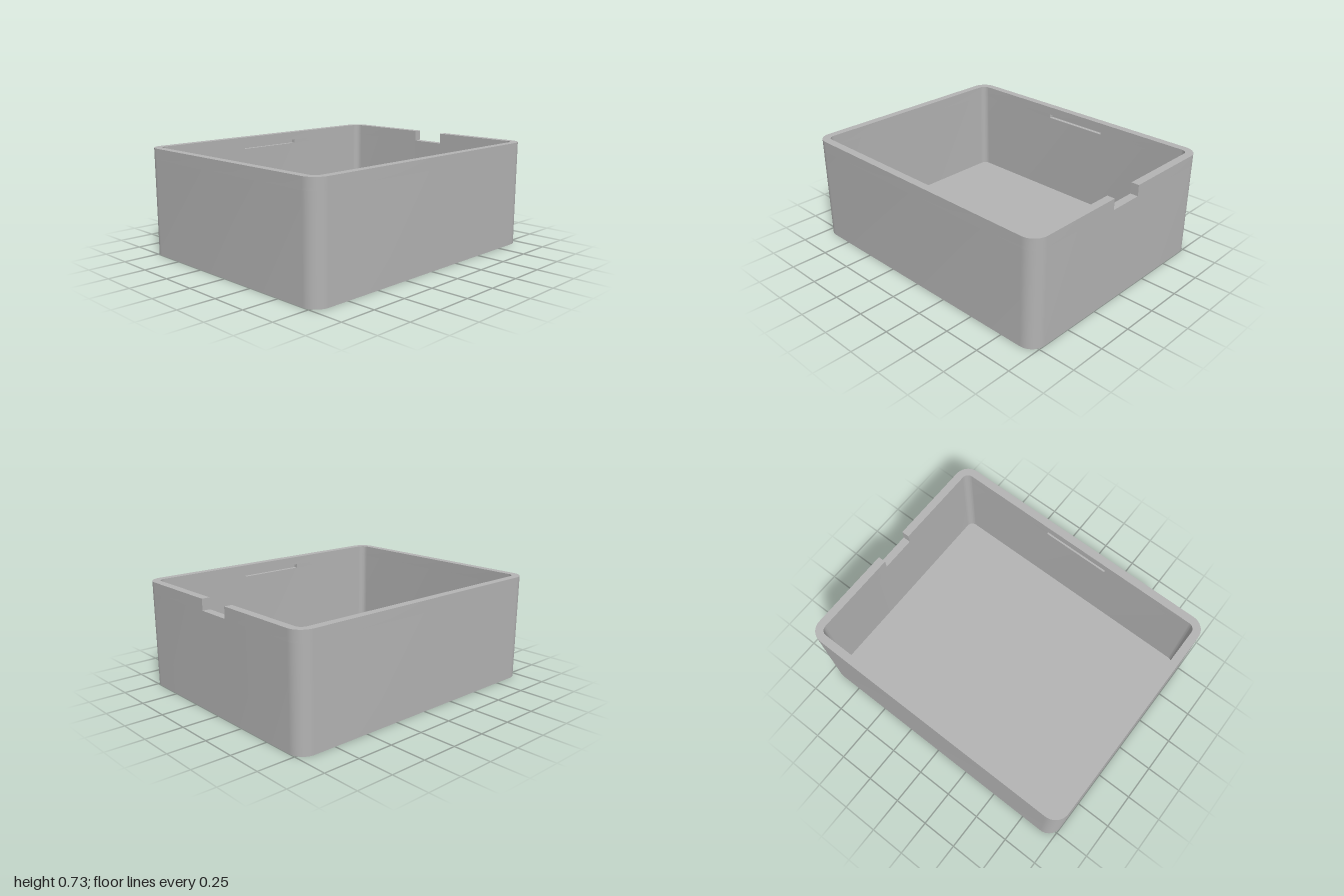
import * as THREE from 'three';
import { mergeGeometries, toCreasedNormals } from 'three/addons/utils/BufferGeometryUtils.js';

// Main sizes
const W = 1, D = 0.805, H = 0.725, R = 0.1, T = 0.054;
const NOTCH = { half: 0.12, y: 0.65 };
const SLOT = { half: 0.24, y0: 0.641, y1: 0.668, depth: 0.028 };

// Rounded rectangle, counter-clockwise from one notch edge round to the other
function outline(w, d, r, slotted = false) {
  const pts = [new THREE.Vector2(w, NOTCH.half)];
  [[1, 1], [-1, 1], [-1, -1], [1, -1]].forEach(([sx, sy], k) => {
    for (let i = 0; i <= 12; i++) {
      const a = (k + i / 12) * Math.PI / 2;
      pts.push(new THREE.Vector2(sx * (w - r) + r * Math.cos(a), sy * (d - r) + r * Math.sin(a)));
    }
    if (slotted && k % 2 === 0) {
      const s = SLOT.half * sy, e = (d + SLOT.depth) * sy;
      pts.push(new THREE.Vector2(s, d * sy), new THREE.Vector2(s, e),
        new THREE.Vector2(-s, e), new THREE.Vector2(-s, d * sy));
    }
  });
  pts.push(new THREE.Vector2(w, -NOTCH.half));
  return pts;
}

// Vertical band along a closed contour, facing to the right of its direction
function band(pts, y0, y1) {
  const pos = [];
  pts.forEach((p, i) => {
    const q = pts[(i + 1) % pts.length];
    const quad = [[p, y0], [q, y0], [q, y1], [p, y0], [q, y1], [p, y1]];
    for (const [v, y] of quad) pos.push(v.x, y, -v.y);
  });
  const g = new THREE.BufferGeometry();
  g.setAttribute('position', new THREE.Float32BufferAttribute(pos, 3));
  return g;
}

// Horizontal face filling a contour
function cap(pts, y, up = true) {
  const g = new THREE.ShapeGeometry(new THREE.Shape(pts)).toNonIndexed();
  g.deleteAttribute('uv');
  g.deleteAttribute('normal');
  return g.rotateX(up ? -Math.PI / 2 : Math.PI / 2).translate(0, y, 0);
}

function rect(x0, x1, v0, v1) {
  return [[x0, v0], [x1, v0], [x1, v1], [x0, v1]].map(([x, v]) => new THREE.Vector2(x, v));
}

export function createModel() {
  const group = new THREE.Group();
  const grey = new THREE.MeshStandardMaterial({ color: 0xb3b3b3 });
  grey.name = 'grey plastic';

  const add = (name, parts) => {
    const mesh = new THREE.Mesh(toCreasedNormals(mergeGeometries(parts), 0.6), grey);
    mesh.name = name;
    group.add(mesh);
  };

  const iw = W - T, id = D - T;
  const outer = outline(W, D, R);
  const inner = outline(iw, id, R - T).reverse();
  const innerSlotted = outline(iw, id, R - T, true).reverse();
  const open = [...outer, ...inner]; // wall section interrupted by the notch
  const openSlotted = [...outer, ...innerSlotted];

  // Lower walls, below the notch
  add('outerWalls', [band(outer, 0, NOTCH.y)]);
  add('innerWalls', [band(inner, T, SLOT.y0), band(innerSlotted, SLOT.y0, NOTCH.y)]);

  // Upper walls, with the notch cut through the left side
  add('upperWalls', [band(openSlotted, NOTCH.y, SLOT.y1), band(open, SLOT.y1, H)]);
  add('rim', [cap(open, H)]);
  add('notchFloor', [cap(rect(iw, W, -NOTCH.half, NOTCH.half), NOTCH.y)]);

  // Base
  add('floor', [cap(inner, T)]);
  add('underside', [cap(outer, 0, false)]);

  // Floors and ceilings of the lid slots in the front and back walls
  const slotFaces = [];
  for (const s of [1, -1]) {
    const r = rect(-SLOT.half, SLOT.half, s * id, s * (id + SLOT.depth));
    slotFaces.push(cap(r, SLOT.y0), cap(r, SLOT.y1, false));
  }
  add('lidSlots', slotFaces);
  return group;
}
